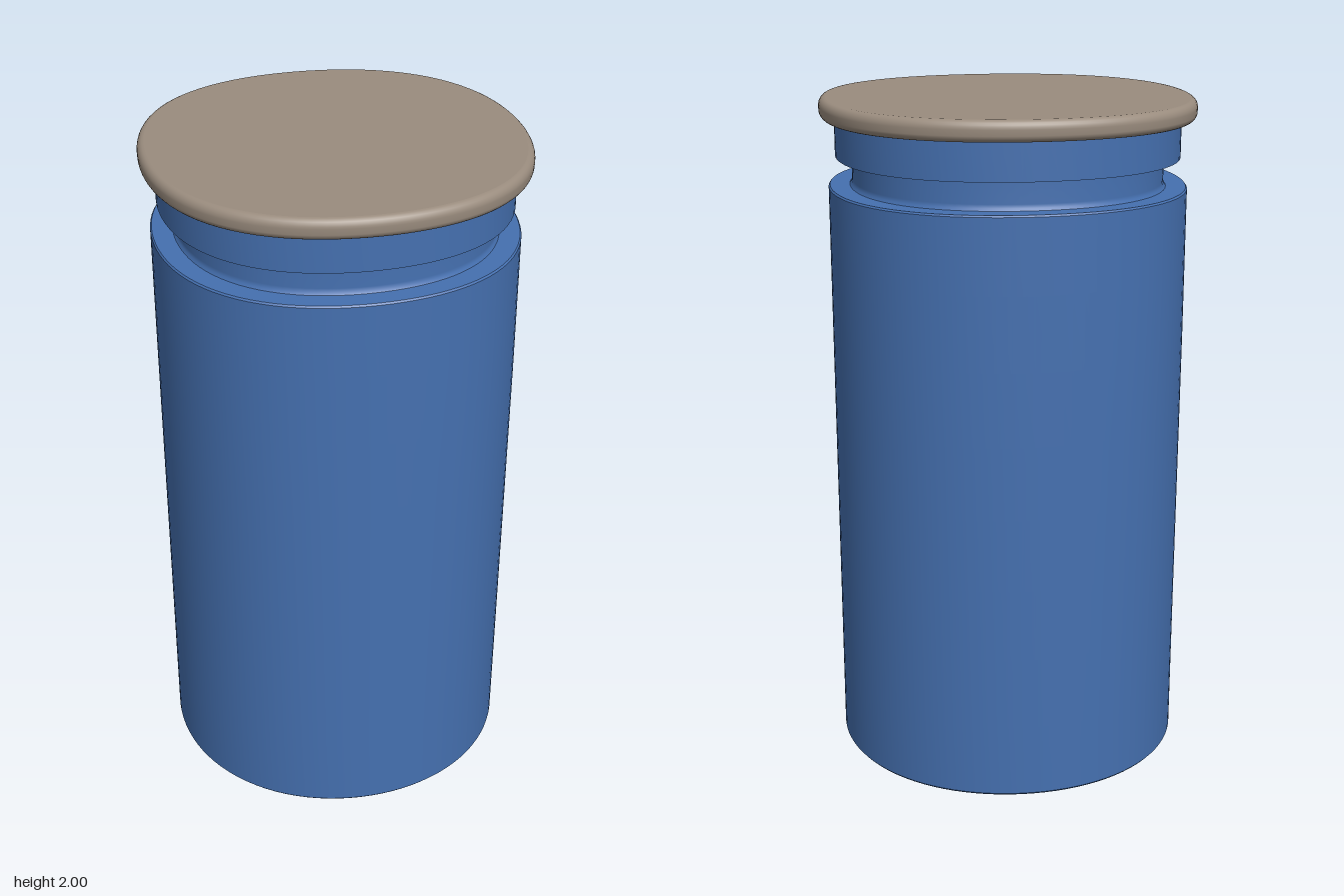
import * as THREE from 'three';
import { mergeVertices, mergeGeometries } from 'three/addons/utils/BufferGeometryUtils.js';

// Lathe each run of [radius, y] points on its own, so runs meet in sharp edges,
// then swell the diagonals to make the round section slightly square.
function softSquareLathe(runs, bulge) {
  const parts = runs.map((run) => {
    let g = new THREE.LatheGeometry(run.map(([r, y]) => new THREE.Vector2(r, y)), 96);
    const p = g.attributes.position;
    for (let i = 0; i < p.count; i++) {
      const x = p.getX(i), z = p.getZ(i);
      const k = 1 + bulge(p.getY(i)) * (1 - Math.cos(4 * Math.atan2(z, x))) / 2;
      p.setX(i, x * k);
      p.setZ(i, z * k);
    }
    g.deleteAttribute('normal');
    g.deleteAttribute('uv');
    g = mergeVertices(g, 1e-5);
    g.computeVertexNormals();
    return g;
  });
  return mergeGeometries(parts);
}

export function createModel() {
  const group = new THREE.Group();
  const blue = new THREE.MeshStandardMaterial({ color: 0x4570b0 });
  const taupe = new THREE.MeshStandardMaterial({ color: 0x9a8c7e });
  const add = (name, geometry, material) => {
    const mesh = new THREE.Mesh(geometry, material);
    mesh.name = name;
    group.add(mesh);
  };

  // Jar body: nearly round at the foot, squarer towards the shoulder
  const wall = [];
  for (let i = 0; i <= 8; i++) wall.push([0.524, 0.006 + 1.734 * i / 8]);
  add('body', softSquareLathe([
    [[0, 0], [0.519, 0]],
    [[0.519, 0], [0.524, 0.006]],
    wall,
    [[0.524, 1.74], [0.52, 1.745]],
    [[0.52, 1.745], [0.462, 1.745]],
  ], (y) => 0.009 + 0.024 * Math.min(1, y / 1.3)), blue);

  // Recessed neck with a small flare at its foot
  add('neck', softSquareLathe([
    [[0.462, 1.745], [0.457, 1.752], [0.455, 1.762], [0.455, 1.83]],
  ], () => 0.033), blue);

  // Collar under the lid
  add('collar', softSquareLathe([
    [[0.455, 1.83], [0.503, 1.83]],
    [[0.503, 1.83], [0.503, 1.945]],
  ], () => 0.033), blue);

  // Flat lid with a rounded rim
  const rim = [];
  for (let i = 0; i <= 12; i++) {
    const a = Math.PI * (i / 12 - 0.5);
    const lift = Math.sin(a) >= 0 ? 0.005 : -0.005;
    rim.push([0.527 + 0.02 * Math.cos(a), 1.97 + lift + 0.025 * Math.sin(a)]);
  }
  add('lid', softSquareLathe([
    [[0, 1.94], [0.527, 1.94]],
    rim,
    [[0.527, 2], [0, 2]],
  ], () => 0.036), taupe);

  return group;
}
